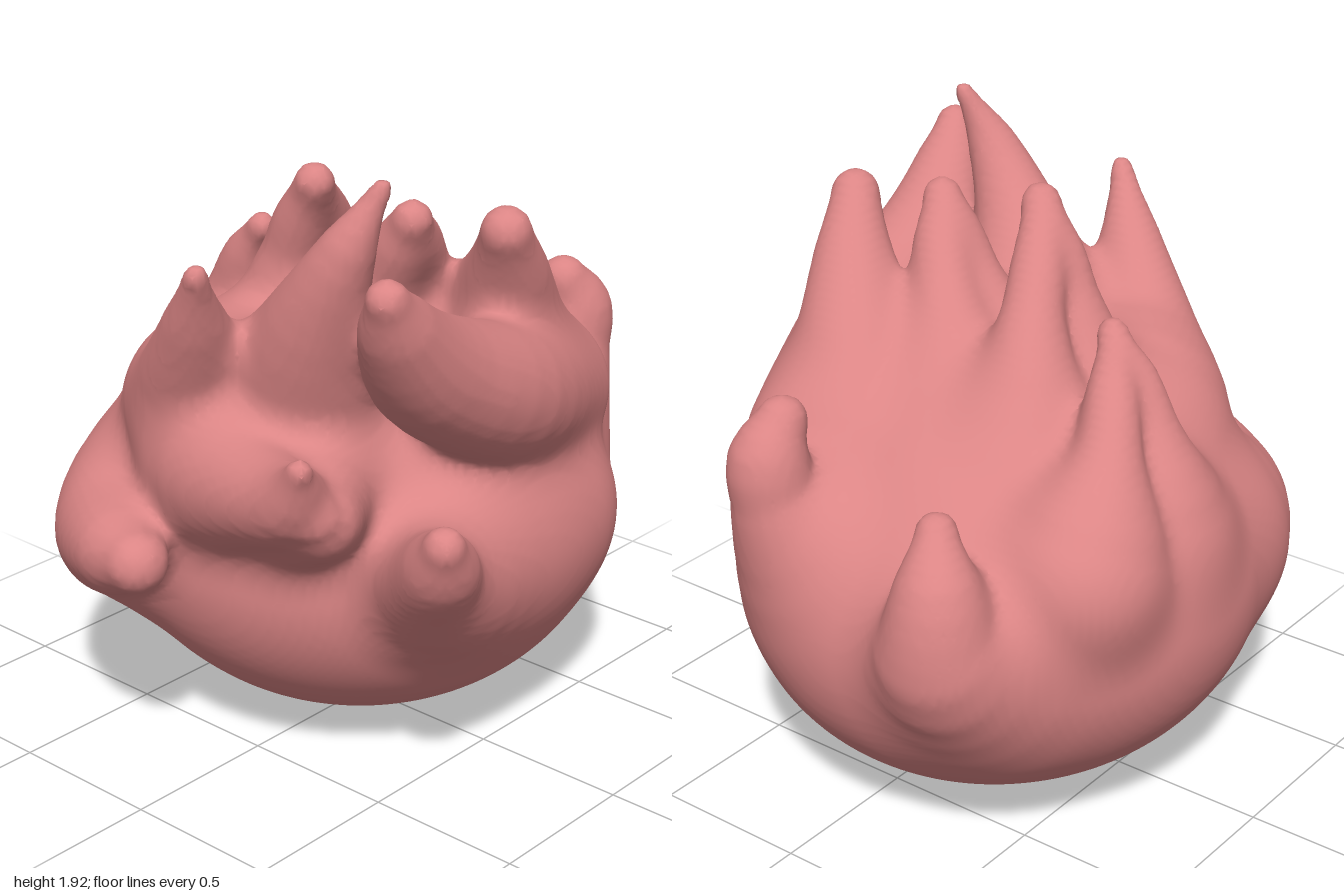
import * as THREE from 'three';

// Rounded core: [centre, radii] of overlapping ellipsoids
const core = [
  [[0.1, 0.62, -0.09], [0.8, 0.62, 0.78]], // bowl
  [[0.06, 0.67, -0.25], [0.74, 0.54, 0.64]], // flat back
  [[0.06, 0.87, -0.02], [0.61, 0.47, 0.64]], // dome
];

// Broad horn: two chains that share a tip and spread sideways towards the base
const fan = (points, left, right) => [left, right].map(spread =>
  points.map(([x, y, z, r], i) => [x + spread * (1 - i / (points.length - 1)), y, z, r]));

// Curling horns, base to tip: chains of [x, y, z, radius]
const horns = {
  tallFront: [[[-0.33, 1.15, 0.08, 0.27], [-0.49, 1.46, 0.26, 0.155], [-0.53, 1.72, 0.41, 0.08], [-0.48, 1.9, 0.49, 0.028]]],
  frontRidge: [[[0.4, 1.04, 0.36, 0.23], [-0.05, 1.2, 0.55, 0.21], [-0.43, 1.39, 0.61, 0.17], [-0.62, 1.57, 0.67, 0.11], [-0.71, 1.69, 0.71, 0.06]]],
  frontCentre: [[[0.37, 0.98, 0.22, 0.27], [0.24, 1.27, 0.34, 0.2], [0.1, 1.51, 0.47, 0.125], [-0.01, 1.68, 0.55, 0.075]]],
  crownFront: fan([[0.06, 1.12, 0, 0.24], [0, 1.42, 0.13, 0.12], [-0.07, 1.59, 0.23, 0.085], [-0.13, 1.69, 0.3, 0.05]], -0.1, 0.1),
  crownBack: fan([[0.06, 1.08, -0.28, 0.23], [-0.01, 1.43, -0.21, 0.11], [-0.08, 1.6, -0.145, 0.082], [-0.16, 1.74, -0.055, 0.05]], -0.14, 0.16),
  back: fan([[0.25, 0.9, -0.62, 0.26], [0.18, 1.18, -0.62, 0.115], [0.1, 1.36, -0.545, 0.075], [0.02, 1.48, -0.45, 0.035]], -0.16, 0.16),
  sideUpper: [[[-0.28, 0.98, -0.3, 0.34], [-0.55, 1.18, -0.17, 0.19], [-0.71, 1.45, -0.01, 0.095], [-0.8, 1.64, 0.09, 0.035]]],
  sideMiddle: [
    [[-0.5, 0.95, -0.08, 0.28], [-0.69, 0.99, 0.2, 0.165], [-0.79, 1.06, 0.43, 0.11], [-0.87, 1.21, 0.54, 0.035]],
    [[-0.42, 0.92, 0.1, 0.28], [-0.6, 0.95, 0.33, 0.17], [-0.7, 0.98, 0.46, 0.11], [-0.76, 1.02, 0.5, 0.07]],
  ],
  sideLower: [[[-0.36, 0.66, -0.46, 0.35], [-0.66, 0.68, -0.4, 0.21], [-0.84, 0.73, -0.22, 0.135], [-0.905, 0.755, -0.08, 0.093]]],
  frontLower: [[[0.3, 0.67, 0.37, 0.3], [-0.15, 0.66, 0.46, 0.29], [-0.42, 0.76, 0.64, 0.16], [-0.55, 0.88, 0.77, 0.11], [-0.62, 0.99, 0.84, 0.06]]],
  leftFront: [[[0.52, 0.74, 0.12, 0.34], [0.75, 1.0, 0.2, 0.155], [0.785, 1.16, 0.22, 0.12], [0.73, 1.275, 0.21, 0.075]]],
  leftBack: [[[0.45, 0.62, -0.35, 0.37], [0.79, 0.76, -0.43, 0.205], [0.83, 0.96, -0.44, 0.13], [0.77, 1.12, -0.39, 0.06]]],
};

// Smooth a chain's control points into tapered segments
function chain(points) {
  const path = new THREE.CatmullRomCurve3(points.map(p => new THREE.Vector3(...p)));
  const taper = new THREE.SplineCurve(points.map((p, i) => new THREE.Vector2(i, p[3])));
  const n = (points.length - 1) * 4;
  return Array.from({ length: n + 1 }, (_, i) => [...path.getPoint(i / n).toArray(), taper.getPoint(i / n).y]);
}
const hornChains = Object.values(horns).map(list => list.map(chain));

function ellipsoid(x, y, z, [c, r]) {
  const px = (x - c[0]) / r[0], py = (y - c[1]) / r[1], pz = (z - c[2]) / r[2];
  const k0 = Math.hypot(px, py, pz);
  const k1 = Math.hypot(px / r[0], py / r[1], pz / r[2]);
  return k1 < 1e-6 ? -0.5 : k0 * (k0 - 1) / k1;
}

// Distance to a chain of round cones
function chainDistance(x, y, z, pts) {
  let best = 9;
  for (let i = 0; i < pts.length - 1; i++) {
    const a = pts[i], b = pts[i + 1];
    const dx = b[0] - a[0], dy = b[1] - a[1], dz = b[2] - a[2];
    const ex = x - a[0], ey = y - a[1], ez = z - a[2];
    const len = Math.sqrt(dx * dx + dy * dy + dz * dz);
    const along = (ex * dx + ey * dy + ez * dz) / len;
    const off = Math.sqrt(Math.max(0, ex * ex + ey * ey + ez * ez - along * along));
    const slope = Math.max(-0.95, Math.min(0.95, (b[3] - a[3]) / len));
    const s = Math.min(len, Math.max(0, along + off * slope / Math.sqrt(1 - slope * slope)));
    const gap = Math.sqrt((along - s) * (along - s) + off * off);
    best = Math.min(best, gap - a[3] - (b[3] - a[3]) * s / len);
  }
  return best;
}

function blend(a, b, k) {
  const h = Math.max(k - Math.abs(a - b), 0) / k;
  return Math.min(a, b) - h * h * k / 4;
}

// Signed distance to the whole blended form
function distance(x, y, z) {
  let d = 9;
  for (const e of core) d = blend(d, ellipsoid(x, y, z, e), 0.1);
  for (const chains of hornChains) {
    let horn = 9;
    for (const c of chains) horn = blend(horn, chainDistance(x, y, z, c), 0.04);
    d = blend(d, horn, 0.1);
  }
  return d;
}

// Skin the zero level of the field with one vertex per crossed grid cell
function skin(field, min, size, step) {
  const n = size.map(s => Math.ceil(s / step) + 1);
  const stride = [1, n[0], n[0] * n[1]];
  const total = n[0] * n[1] * n[2];
  const values = new Float32Array(total).fill(1), cell = new Int32Array(total).fill(-1);
  const each = (from, fn) => {
    for (let k = from; k < n[2] - 1; k++)
      for (let j = from; j < n[1] - 1; j++)
        for (let i = from; i < n[0] - 1; i++) fn(i, j, k, i + j * stride[1] + k * stride[2]);
  };
  each(0, (i, j, k, id) => {
    values[id] = field(min[0] + i * step, min[1] + j * step, min[2] + k * step);
  });

  const positions = [], indices = [];
  each(0, (i, j, k, id) => {
    const sum = [0, 0, 0];
    let count = 0;
    for (let c = 0; c < 8; c++) {
      const corner = [c & 1, (c >> 1) & 1, c >> 2];
      const p = id + corner[0] + corner[1] * stride[1] + corner[2] * stride[2];
      for (let a = 0; a < 3; a++) {
        if (corner[a]) continue;
        const v0 = values[p], v1 = values[p + stride[a]];
        if ((v0 < 0) === (v1 < 0)) continue;
        for (let q = 0; q < 3; q++) sum[q] += corner[q] + (q === a ? v0 / (v0 - v1) : 0);
        count++;
      }
    }
    if (!count) return;
    cell[id] = positions.length / 3;
    [i, j, k].forEach((g, q) => positions.push(min[q] + (g + sum[q] / count) * step));
  });
  each(1, (i, j, k, id) => {
    for (let a = 0; a < 3; a++) {
      const inside = values[id] < 0;
      if (inside === (values[id + stride[a]] < 0)) continue;
      const b = stride[(a + 1) % 3], c = stride[(a + 2) % 3];
      const quad = [cell[id - b - c], cell[id - c], cell[id], cell[id - b]];
      if (!inside) quad.reverse();
      indices.push(quad[0], quad[1], quad[2], quad[0], quad[2], quad[3]);
    }
  });
  const geometry = new THREE.BufferGeometry();
  geometry.setAttribute('position', new THREE.Float32BufferAttribute(positions, 3));
  geometry.setIndex(indices);
  geometry.computeVertexNormals();
  return geometry;
}

export function createModel() {
  const coral = new THREE.MeshStandardMaterial({ color: 0xdb8585 });
  coral.name = 'coral pink';

  const body = new THREE.Mesh(skin(distance, [-1.1, -0.08, -1.05], [2.25, 2.1, 2.05], 0.021), coral);
  body.name = 'hornedBody';
  const group = new THREE.Group();
  group.name = 'curlingBlob';
  group.add(body);
  return group;
}
